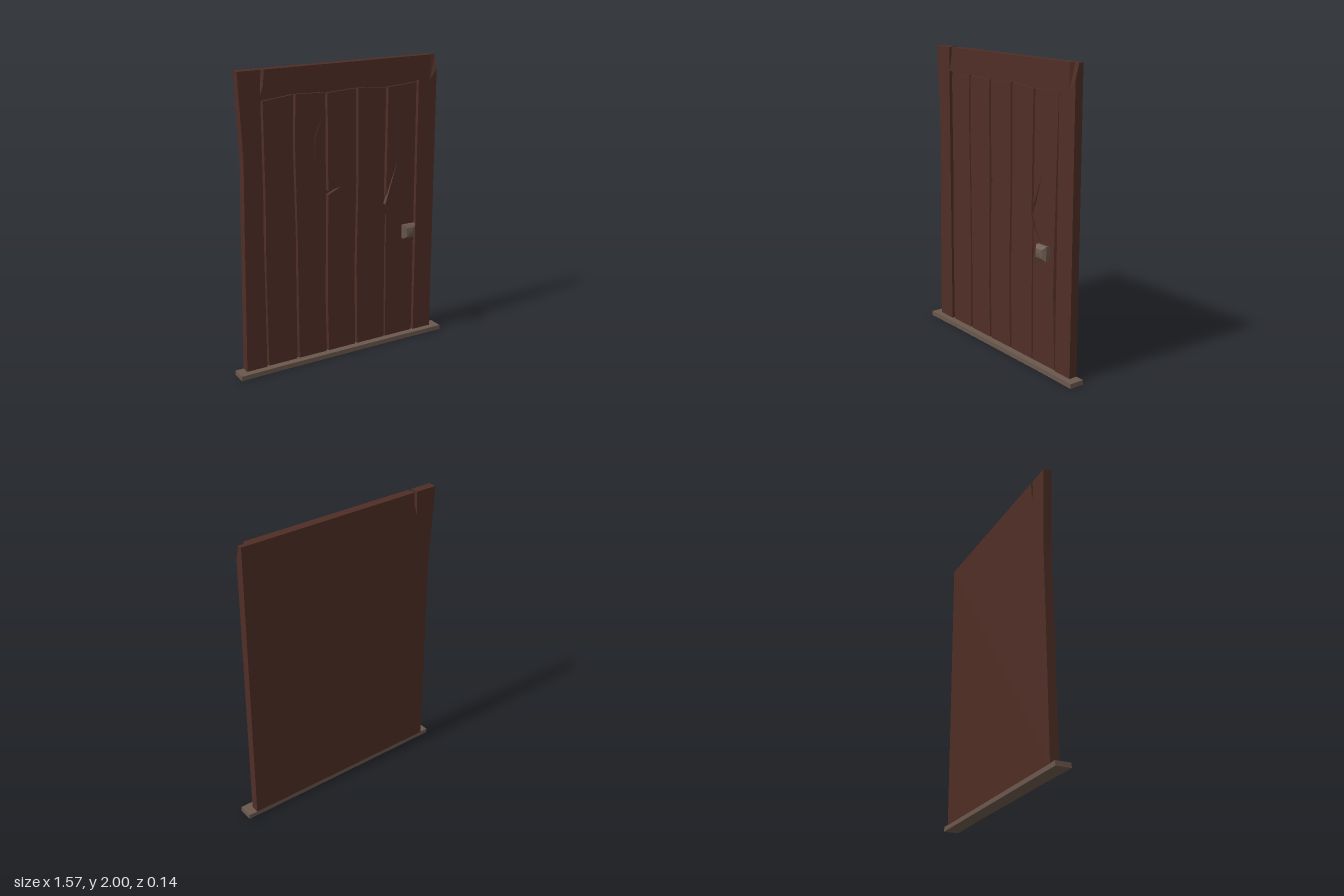
import * as THREE from 'three';

const BACK = -0.068, MID = -0.036, FRONT = -0.01, PLANK = -0.017;

// Extrudes an outline of [x, y] points between two depths
function slab(points, z0, z1) {
  const shape = new THREE.Shape(points.map(([x, y]) => new THREE.Vector2(x, y)));
  const g = new THREE.ExtrudeGeometry(shape, { depth: z1 - z0, bevelEnabled: false });
  g.translate(0, 0, z0);
  return g;
}

// Flat-faced geometry from a list of triangles
function facets(tris) {
  const g = new THREE.BufferGeometry().setFromPoints(tris.flat().map((p) => new THREE.Vector3(...p)));
  g.computeVertexNormals();
  return g;
}

export function createModel() {
  const wood = new THREE.MeshStandardMaterial({ color: 0x4f2e25 });
  wood.name = 'dark wood';
  const stone = new THREE.MeshStandardMaterial({ color: 0x6a574c });
  stone.name = 'grey brown';
  const model = new THREE.Group();
  model.name = 'door';
  const add = (name, geometry, material) => {
    const mesh = new THREE.Mesh(geometry, material);
    mesh.name = name;
    model.add(mesh);
    return mesh;
  };

  // Worn left edge and the split running down through the lintel
  const leftEdge = [[-0.715, 0.9], [-0.705, 1.45], [-0.73, 2]].reverse();
  const split = [[-0.553, 2], [-0.56, 1.91], [-0.583, 1.84], [-0.575, 2]];

  // Backing board
  add('backBoard', slab([[-0.728, 0.03], [0.725, 0.03], [0.725, 2], ...split, ...leftEdge], BACK, MID), wood);

  // Raised frame around the planks, with the top corner broken away
  add('frame', slab([
    [-0.728, 0.03], [-0.583, 0.03], [-0.583, 1.838], [0.582, 1.838], [0.582, 0.03], [0.725, 0.03],
    [0.725, 1.9], [0.672, 1.83], [0.672, 2], ...split, ...leftEdge,
  ], MID, FRONT), wood);

  // Sloping faces of the broken corner
  const a = [0.725, 1.9, FRONT], b = [0.672, 1.83, FRONT], e = [0.672, 2, FRONT];
  const c = [0.69, 2, MID], d = [0.725, 2, MID];
  add('chippedCorner', facets([
    [b, a, d], [b, d, c], [b, c, e],
    [a, [0.725, 1.9, MID], d], [e, c, [0.672, 2, MID]],
  ]), wood);

  // Planks: bottom edge, right side going up, left side going down
  const planks = [
    [[-0.565, 0.03], [-0.356, 0.03], [-0.352, 0.9], [-0.362, 1.5], [-0.355, 1.828],
      [-0.562, 1.806], [-0.56, 1.2], [-0.568, 0.7]],
    [[-0.336, 0.03], [-0.128, 0.03], [-0.136, 0.4], [-0.128, 0.95], [-0.132, 1.7], [-0.126, 1.82],
      [-0.338, 1.828], [-0.346, 1.5], [-0.338, 0.9]],
    [[-0.108, 0.03], [0.1, 0.03], [0.092, 0.6], [0.104, 1.2], [0.1, 1.826],
      [-0.11, 1.815], [-0.108, 1.172], [-0.012, 1.188], [-0.108, 1.146], [-0.116, 0.4]],
    [[0.118, 0.03], [0.336, 0.03], [0.33, 0.6], [0.334, 0.94], [0.322, 1.02], [0.324, 1.3], [0.33, 1.81],
      [0.118, 1.826], [0.12, 1.2], [0.11, 0.6]],
    [[0.348, 0.03], [0.568, 0.03], [0.545, 0.5], [0.55, 0.9], [0.562, 1.5], [0.57, 1.825],
      [0.348, 1.81], [0.342, 1.07], [0.43, 1.31], [0.336, 1.01], [0.46, 0.785], [0.342, 0.945], [0.344, 0.6]],
  ];
  planks.forEach((outline, i) => {
    const g = slab(outline, MID, PLANK);
    const xs = outline.map((p) => p[0]);
    const centre = (Math.min(...xs) + Math.max(...xs)) / 2;
    const pos = g.attributes.position;
    // Widen the back so the plank sides slope into the grooves
    for (let k = 0; k < pos.count; k++) {
      if (pos.getZ(k) < MID + 0.001) {
        const x = pos.getX(k);
        pos.setX(k, x + Math.sign(x - centre) * 0.007);
      }
    }
    g.computeVertexNormals();
    add('plank' + (i + 1), g, wood);
  });

  // Faint hairline split on the second plank
  const z = PLANK + 0.0008;
  add('hairlineSplit', facets([
    [[-0.132, 1.72, z], [-0.205, 1.55, z], [-0.198, 1.55, z + 0.003]],
    [[-0.132, 1.72, z], [-0.198, 1.55, z + 0.003], [-0.132, 1.69, z]],
    [[-0.205, 1.55, z], [-0.215, 1.33, z], [-0.198, 1.55, z + 0.003]],
  ]), wood);

  // Threshold, slightly worn along the front
  add('threshold', (() => {
    const g = slab([[-0.788, -0.035], [-0.66, -0.033], [-0.5, -0.03], [0.5, -0.03], [0.66, -0.033],
      [0.786, -0.035], [0.786, 0.068], [-0.788, 0.068]], 0, 0.032);
    g.rotateX(-Math.PI / 2);
    g.scale(1, 1, -1);
    // Mirroring reverses the faces, so swap two corners of each
    const p = g.attributes.position;
    const u = new THREE.Vector3(), v = new THREE.Vector3();
    for (let i = 0; i < p.count; i += 3) {
      u.fromBufferAttribute(p, i + 1);
      v.fromBufferAttribute(p, i + 2);
      p.setXYZ(i + 1, v.x, v.y, v.z);
      p.setXYZ(i + 2, u.x, u.y, u.z);
    }
    // Outline y became depth with its sign kept, so turn it to face forward
    g.rotateY(Math.PI);
    g.translate(-0.001, 0, 0);
    g.computeVertexNormals();
    const box = new THREE.Box3().setFromBufferAttribute(p);
    g.translate(0, -box.min.y, -0.068 - box.min.z);
    return g;
  })(), stone);

  // Four-sided knob on a short neck
  const profile = [[0.02, -0.03], [0.02, 0.002], [0.034, 0.005], [0.049, 0.022],
    [0.049, 0.042], [0.03, 0.062], [0, 0.068]];
  const lathe = new THREE.LatheGeometry(
    profile.map(([r, h]) => new THREE.Vector2(r * Math.SQRT2, h)), 4, Math.PI / 4);
  const knob = lathe.toNonIndexed();
  knob.rotateX(Math.PI / 2);
  knob.computeVertexNormals();
  add('knob', knob, stone).position.set(0.495, 0.81, 0);

  return model;
}
